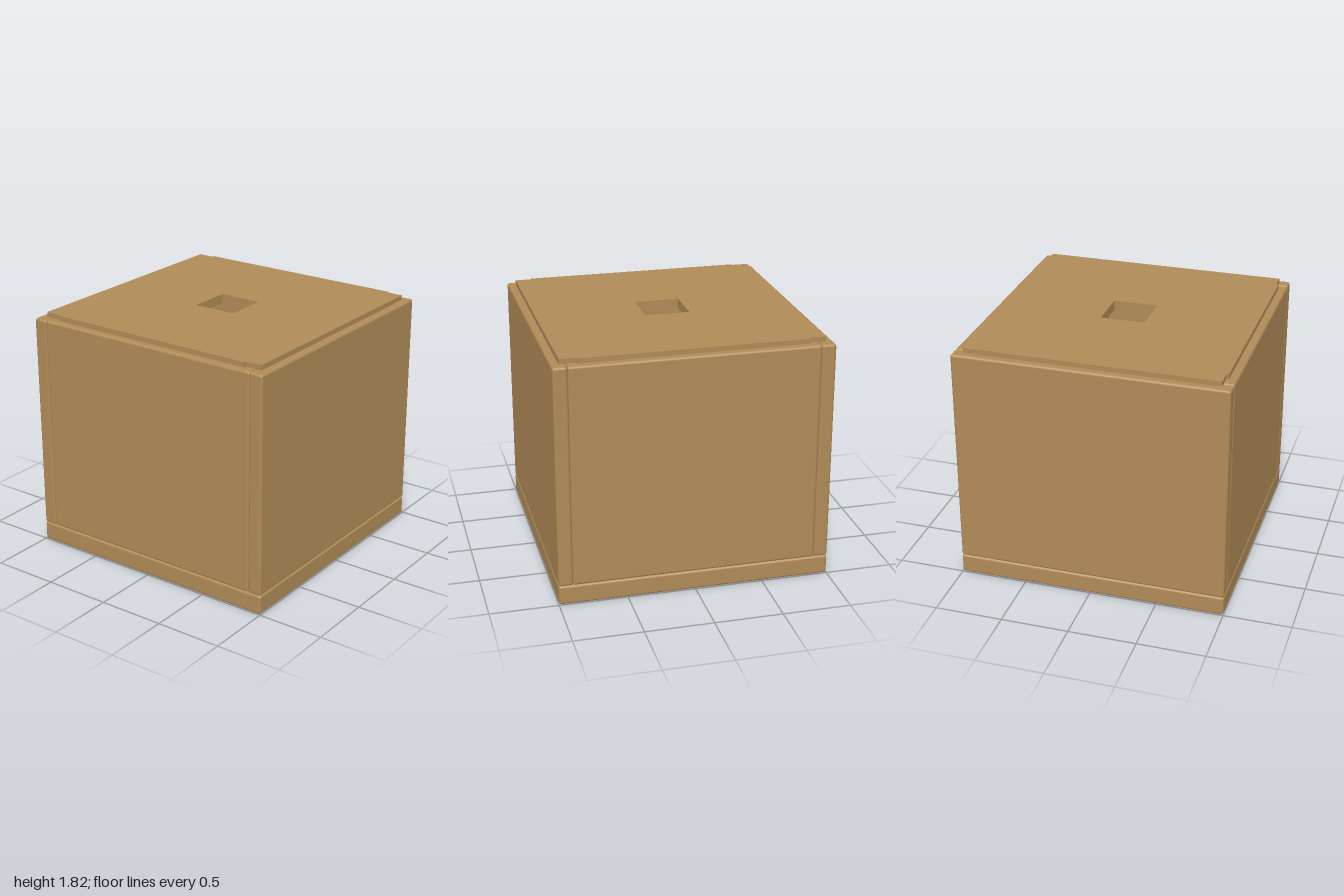
import * as THREE from 'three';
import { RoundedBoxGeometry } from 'three/addons/geometries/RoundedBoxGeometry.js';

const wood = new THREE.MeshStandardMaterial({ color: 0xb08b57 });

// Board with softly rounded edges, standing on height y
function board(name, w, h, d, x, y, z) {
  const mesh = new THREE.Mesh(new RoundedBoxGeometry(w, h, d, 3, 0.018), wood);
  mesh.name = name;
  mesh.position.set(x, y + h / 2, z);
  return mesh;
}

// Lid: plate with stepped corners and a square opening in the middle
function lid() {
  const [wide, narrow, shoulder, end, half] = [0.943, 0.925, 0.82, 0.943, 0.165];
  const shape = new THREE.Shape([
    [narrow, -end], [narrow, -shoulder], [wide, -shoulder], [wide, shoulder],
    [narrow, shoulder], [narrow, end], [-narrow, end], [-narrow, shoulder],
    [-wide, shoulder], [-wide, -shoulder], [-narrow, -shoulder], [-narrow, -end],
  ].map(([x, y]) => new THREE.Vector2(x, y)));
  shape.holes.push(new THREE.Path([
    [-half, -half], [-half, half], [half, half], [half, -half],
  ].map(([x, y]) => new THREE.Vector2(x, y))));
  const geometry = new THREE.ExtrudeGeometry(shape, { depth: 0.07, bevelEnabled: false });
  geometry.rotateX(-Math.PI / 2);
  const mesh = new THREE.Mesh(geometry, wood);
  mesh.name = 'lid';
  mesh.position.y = 1.752;
  return mesh;
}

export function createModel() {
  const model = new THREE.Group();
  model.name = 'woodenBox';

  const baseHeight = 0.145;
  const wallHeight = 1.64;
  const thickness = 0.105;
  const offset = 1 - thickness / 2;

  model.add(board('base', 2, baseHeight, 2, 0, 0, 0));

  // Front and back run the full width; the sides fit between them
  for (const s of [1, -1]) {
    model.add(board(s > 0 ? 'frontPanel' : 'backPanel', 2, wallHeight, thickness, 0, baseHeight, s * offset));
    model.add(board(s > 0 ? 'leftPanel' : 'rightPanel', thickness, wallHeight, 2 - 2 * thickness, s * offset, baseHeight, 0));
  }

  model.add(lid());
  return model;
}
